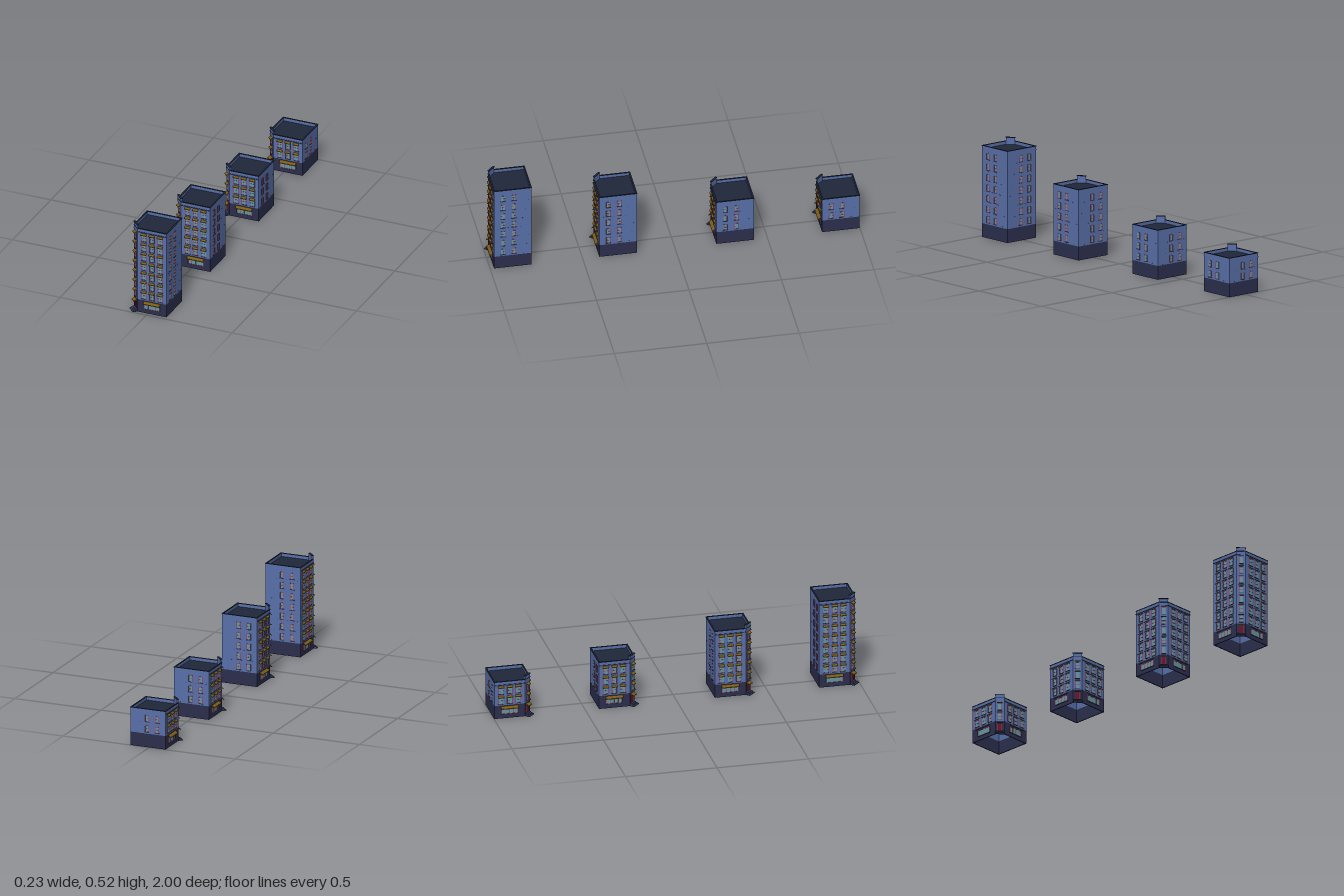
import * as THREE from 'three';

const HALF = 0.1015, CUT = 0.034, BASE = 0.075, FLOOR = 0.0573, CENTER_X = 0.007;
const mat = (color) => new THREE.MeshStandardMaterial({ color });
const M = {
  wall: mat(0x5870aa), base: mat(0x2c2f4e), roof: mat(0x1f273a), trim: mat(0x2f3a5c), awning: mat(0x7a5c16),
  frame: mat(0xb02c4a), glass: mat(0x6796a2), door: mat(0x6b1628), step: mat(0x3c466c),
};

function add(parent, name, geometry, material, x = 0, y = 0, z = 0) {
  const mesh = new THREE.Mesh(geometry, material);
  mesh.name = name;
  mesh.position.set(x, y, z);
  parent.add(mesh);
  return mesh;
}
const box = (parent, name, material, w, h, d, x, y, z) =>
  add(parent, name, new THREE.BoxGeometry(w, h, d), material, x, y, z);

// Square footprint with the front corner cut off, moved inwards by t
function outline(t, Type = THREE.Shape) {
  const h = HALF - t, c = CUT - 0.586 * t;
  return new Type([[-h + c, -h], [h, -h], [h, h], [-h, h], [-h, -h + c]].map(([x, y]) => new THREE.Vector2(x, y)));
}

// Hollow storey: footprint ring between two offsets, or a solid slab when inner is null
function ring(outer, inner, height) {
  const shape = outline(outer);
  if (inner !== null) shape.holes.push(outline(inner, THREE.Path));
  return new THREE.ExtrudeGeometry(shape, { depth: height, bevelEnabled: false }).rotateX(-Math.PI / 2);
}

// Sloping awning with a short valance; y is its lower edge
function awning(parent, w, h, depth, x, y) {
  const profile = new THREE.Shape([[0, h], [0, h * 0.8], [depth * 0.9, 0], [depth, 0], [depth, h * 0.3]]
    .map(([a, b]) => new THREE.Vector2(a, b)));
  const geometry = new THREE.ExtrudeGeometry(profile, { depth: w, bevelEnabled: false });
  geometry.translate(0, 0, -w / 2).rotateY(-Math.PI / 2);
  add(parent, 'awning', geometry, M.awning, x, y, 0);
}

// Glazed opening with frame, bars and sill, centred at x, y on a wall
function windowUnit(parent, w, h, x, y, columns, rows) {
  const g = new THREE.Group();
  g.name = 'window';
  g.position.set(x, y, 0);
  parent.add(g);
  const t = 0.0018;
  box(g, 'glass', M.glass, w, h, 0.01, 0, 0, -0.0045);
  for (let i = 0; i <= columns; i++) {
    const thin = i > 0 && i < columns ? 0.6 : 1;
    box(g, 'frameUpright', M.frame, t * thin, h, 0.0025, (i / columns - 0.5) * (w - t), 0, 0.0005);
  }
  for (let i = 0; i <= rows; i++) {
    const thin = i > 0 && i < rows ? 0.6 : 1;
    box(g, 'frameRail', M.frame, w, t * thin, 0.0025, 0, (i / rows - 0.5) * (h - t), 0.0005);
  }
  box(g, 'sill', M.trim, w + 0.003, 0.0025, 0.004, 0, -h / 2 - 0.001, 0.001);
}

// Wall frame: local +z points outwards, local x runs right as seen from outside
function face(parent, name, angle, distance) {
  const g = new THREE.Group();
  g.name = name;
  g.rotation.y = angle;
  g.position.set(Math.sin(angle) * distance, 0, Math.cos(angle) * distance);
  parent.add(g);
  return g;
}

function building(floors) {
  const g = new THREE.Group();
  const top = 0.0975 + FLOOR * floors;

  // Shell, roof and parapet
  add(g, 'groundFloorWalls', ring(0, 0.005, BASE), M.base);
  add(g, 'upperWalls', ring(0, 0.005, top - BASE), M.wall, 0, BASE);
  add(g, 'roofDeck', ring(0.004, null, 0.002), M.roof, 0, top - 0.02);
  add(g, 'parapetCap', ring(-0.002, 0.006, 0.003), M.roof, 0, top - 0.002);

  // Two shop fronts, mirrored about the cut corner
  for (const [name, angle, s] of [['frontWall', 0, 1], ['sideShopWall', -Math.PI / 2, -1]]) {
    const f = face(g, name, angle, HALF);
    box(f, 'cornice', M.trim, 2 * HALF - CUT, 0.004, 0.004, s * CUT / 2, top - 0.02, 0.001);
    windowUnit(f, 0.09, 0.033, s * 0.018, 0.041, 4, 1);
    awning(f, 0.094, 0.013, 0.016, s * 0.018, 0.056);
    for (let i = 0; i < floors; i++) {
      for (const x of [-0.029, 0.017, 0.065]) {
        const y = BASE + i * FLOOR;
        windowUnit(f, 0.028, 0.039, s * x, y + 0.027, 1, 2);
        awning(f, 0.031, 0.011, 0.01, s * x, y + 0.044);
      }
    }
  }

  // Plain walls with two window columns each
  for (const [name, angle, s] of [['plainSideWall', Math.PI / 2, 1], ['backWall', Math.PI, -1]]) {
    const f = face(g, name, angle, HALF);
    for (let i = 0; i < floors; i++) {
      const y = BASE + i * FLOOR;
      for (const x of [-0.053, 0.006]) windowUnit(f, 0.023, 0.035, s * x, y + 0.027, 1, 2);
      // Loose bricks standing slightly proud of the wall
      for (let k = 0; k < 3; k++) {
        const x = ((i * 37 + k * 61 + 13) % 90) / 90 * 0.18 - 0.09;
        box(f, 'brick', M.trim, 0.005, 0.002, 0.002, x, y + 0.004 + ((i * 5 + k * 3) % 4) * 0.001, 0);
      }
    }
  }

  // Cut corner: entrance, steps, small windows and raised parapet
  const c = face(g, 'entranceCorner', -Math.PI / 4, (HALF - CUT / 2) * Math.SQRT2);
  box(c, 'door', M.door, 0.022, 0.046, 0.01, 0, 0.038, -0.0042);
  for (const s of [-1, 1]) box(c, 'doorJamb', M.frame, 0.002, 0.046, 0.003, s * 0.011, 0.038, 0.0005);
  awning(c, 0.032, 0.012, 0.018, 0, 0.057);
  for (let i = 0; i < 3; i++) {
    const depth = 0.026 - i * 0.008;
    box(c, 'step', M.step, 0.05 - i * 0.006, 0.005, depth, 0, 0.0025 + i * 0.005, depth / 2);
  }
  for (let i = 0; i < floors; i++) {
    const y = BASE + i * FLOOR;
    windowUnit(c, 0.022, 0.039, 0, y + 0.027, 1, 2);
    awning(c, 0.028, 0.011, 0.014, 0, y + 0.044);
  }
  box(c, 'raisedParapet', M.wall, 0.048, 0.04, 0.008, 0, top - 0.002, -0.0035);
  box(c, 'raisedParapetCap', M.roof, 0.052, 0.003, 0.012, 0, top + 0.0195, -0.0035);
  return g;
}

export function createModel() {
  const model = new THREE.Group();
  model.name = 'cornerBuildings';
  // Row of buildings: number of upper floors and centre z
  for (const [floors, z] of [[7, 0.878], [5, 0.308], [3, -0.325], [2, -0.897]]) {
    const b = building(floors);
    b.name = `buildingWith${floors}UpperFloors`;
    b.position.set(CENTER_X, 0, z);
    model.add(b);
  }
  return model;
}
